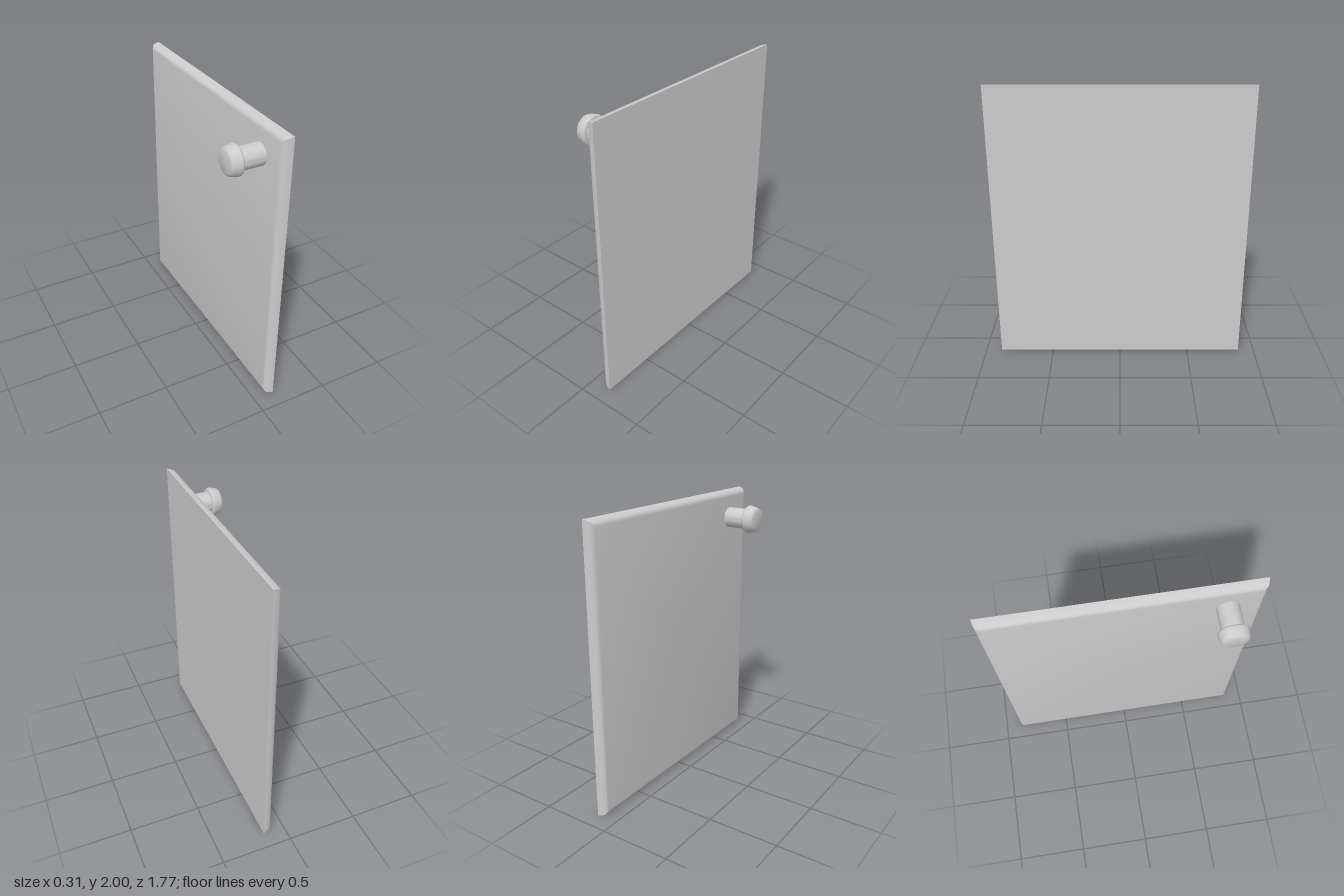
import * as THREE from 'three';
import { toCreasedNormals } from 'three/addons/utils/BufferGeometryUtils.js';

const material = new THREE.MeshStandardMaterial({ color: 0xcccccc });

// Rectangular slab made of stacked rings: each ring is [x, inset from the edge]
function createPanel(height, halfDepth, rings) {
  const positions = [], index = [];
  for (const [x, inset] of rings) {
    const z = halfDepth - inset, top = height - inset;
    positions.push(x, inset, z, x, inset, -z, x, top, -z, x, top, z);
  }
  for (let r = 0; r < rings.length - 1; r++) {
    for (let i = 0; i < 4; i++) {
      const a = r * 4 + i, b = r * 4 + (i + 1) % 4;
      index.push(a, a + 4, b, b, a + 4, b + 4);
    }
  }
  const last = (rings.length - 1) * 4;
  index.push(0, 1, 2, 0, 2, 3); // flat outer face
  index.push(last, last + 2, last + 1, last, last + 3, last + 2); // inner face
  const geometry = new THREE.BufferGeometry();
  geometry.setAttribute('position', new THREE.Float32BufferAttribute(positions, 3));
  geometry.setIndex(index);
  return toCreasedNormals(geometry, 0.5);
}

// Turned part whose axis points along -x; profile is [radius, x]
function turned(profile) {
  const points = profile.map(([r, x]) => new THREE.Vector2(r, -x));
  const geometry = new THREE.LatheGeometry(points, 48).rotateZ(Math.PI / 2);
  return toCreasedNormals(geometry, 0.6);
}

export function createModel() {
  const group = new THREE.Group();
  const add = (name, geometry, y = 0, z = 0) => {
    const mesh = new THREE.Mesh(geometry, material);
    mesh.name = name;
    mesh.position.set(0, y, z);
    group.add(mesh);
  };

  // Door panel with eased edges on the knob side
  add('doorPanel', createPanel(2, 0.887, [
    [0.152, 0], [0.138, 0.002], [0.12, 0.007], [0.105, 0.013],
    [0.096, 0.021], [0.09, 0.032], [0.087, 0.045],
  ]));

  // Knob: plain stem and a rounded, slightly tapered head
  const y = 1.803, z = 0.649;
  add('knobStem', turned([[0.074, 0.09], [0.074, -0.075]]), y, z);
  add('knobHead', turned([
    [0, -0.07], [0.088, -0.07], [0.095, -0.073], [0.1, -0.079], [0.101, -0.087],
    [0.098, -0.1], [0.092, -0.129], [0.088, -0.14], [0.081, -0.148],
    [0.072, -0.152], [0, -0.153],
  ]), y, z);

  return group;
}
